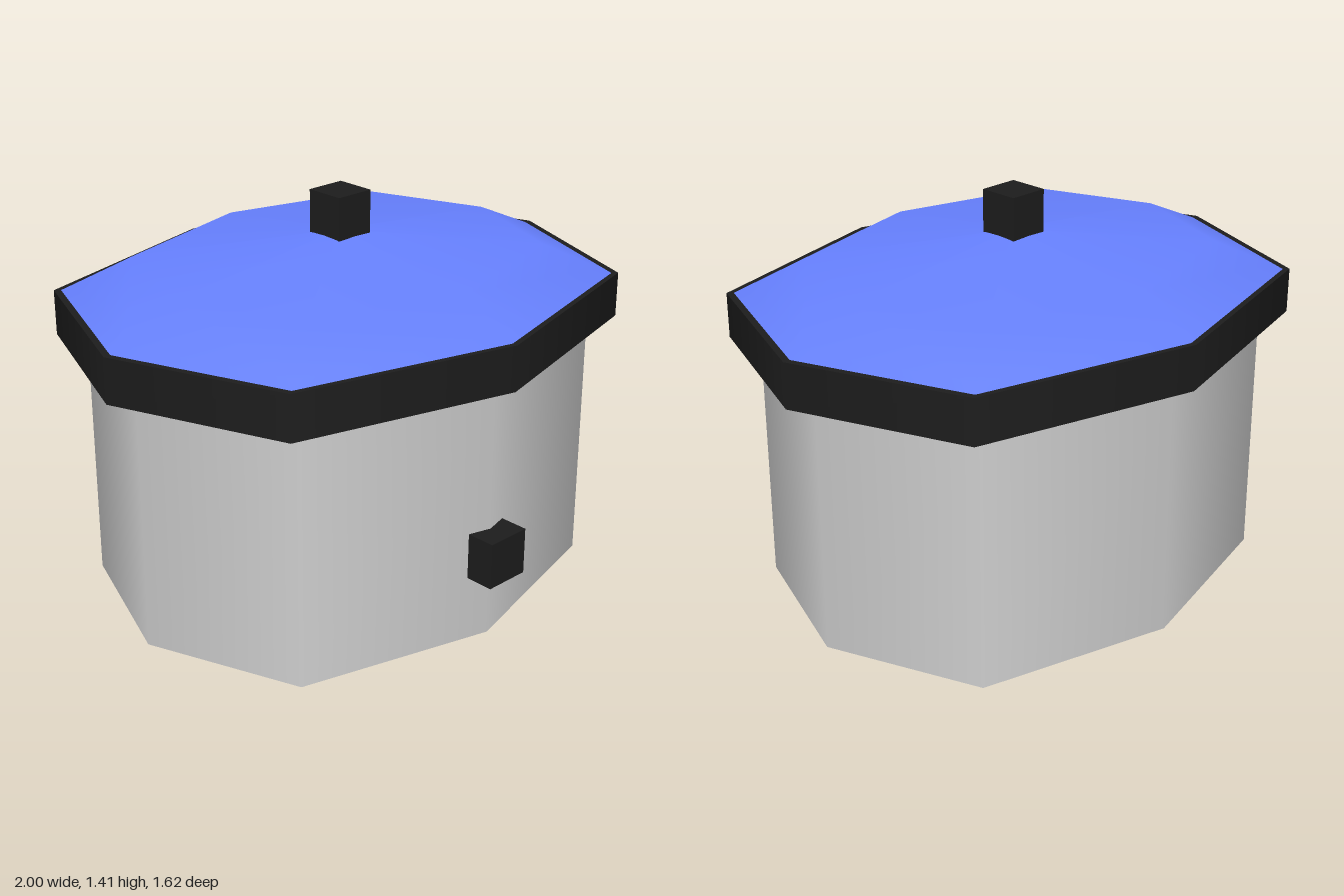
import * as THREE from 'three';

const DEPTH = 0.81;

// Turn a unit-round eight-sided solid into the oval octagon with fuller corners
function squash(geometry, depth = DEPTH) {
  const p = geometry.attributes.position;
  for (let i = 0; i < p.count; i++) {
    const x = p.getX(i), z = p.getZ(i);
    const r2 = x * x + z * z;
    const corner = r2 > 1e-6 ? Math.abs(2 * x * z) / r2 : 0;
    p.setX(i, x * (1 + 0.09 * corner));
    p.setZ(i, z * depth * (1 + 0.056 * corner));
  }
  return geometry;
}

export function createModel() {
  const model = new THREE.Group();
  const grey = new THREE.MeshStandardMaterial({ color: 0xcccccc });
  const black = new THREE.MeshStandardMaterial({ color: 0x1c1c1c });
  const blue = new THREE.MeshStandardMaterial({ color: 0x6680ff });

  const add = (name, geometry, material, x = 0, y = 0, z = 0) => {
    const mesh = new THREE.Mesh(geometry, material);
    mesh.name = name;
    mesh.position.set(x, y, z);
    model.add(mesh);
  };
  const prism = (name, radius, y0, y1, material, depth) =>
    add(name, squash(new THREE.CylinderGeometry(radius, radius, y1 - y0, 8), depth),
      material, 0, (y0 + y1) / 2, 0);

  // Pot body, recessed neck and overhanging lid rim
  prism('body', 0.89, 0, 0.89, grey, 0.82);
  prism('neck', 0.79, 0.885, 0.925, black, 0.785);
  prism('lidRim', 1, 0.92, 1.08, black);

  // Faceted lid dome with smooth shading
  const profile = [[0.975, 1.08], [0.93, 1.1], [0.72, 1.195], [0, 1.27]]
    .map(([r, y]) => new THREE.Vector2(r, y));
  add('lidDome', squash(new THREE.LatheGeometry(profile, 8)), blue);

  // Lid knob and front button
  add('lidKnob', new THREE.BoxGeometry(0.145, 0.16, 0.145), black, 0, 1.33, 0);
  add('frontButton', new THREE.BoxGeometry(0.165, 0.165, 0.11), black, 0, 0.317, 0.755);

  return model;
}
